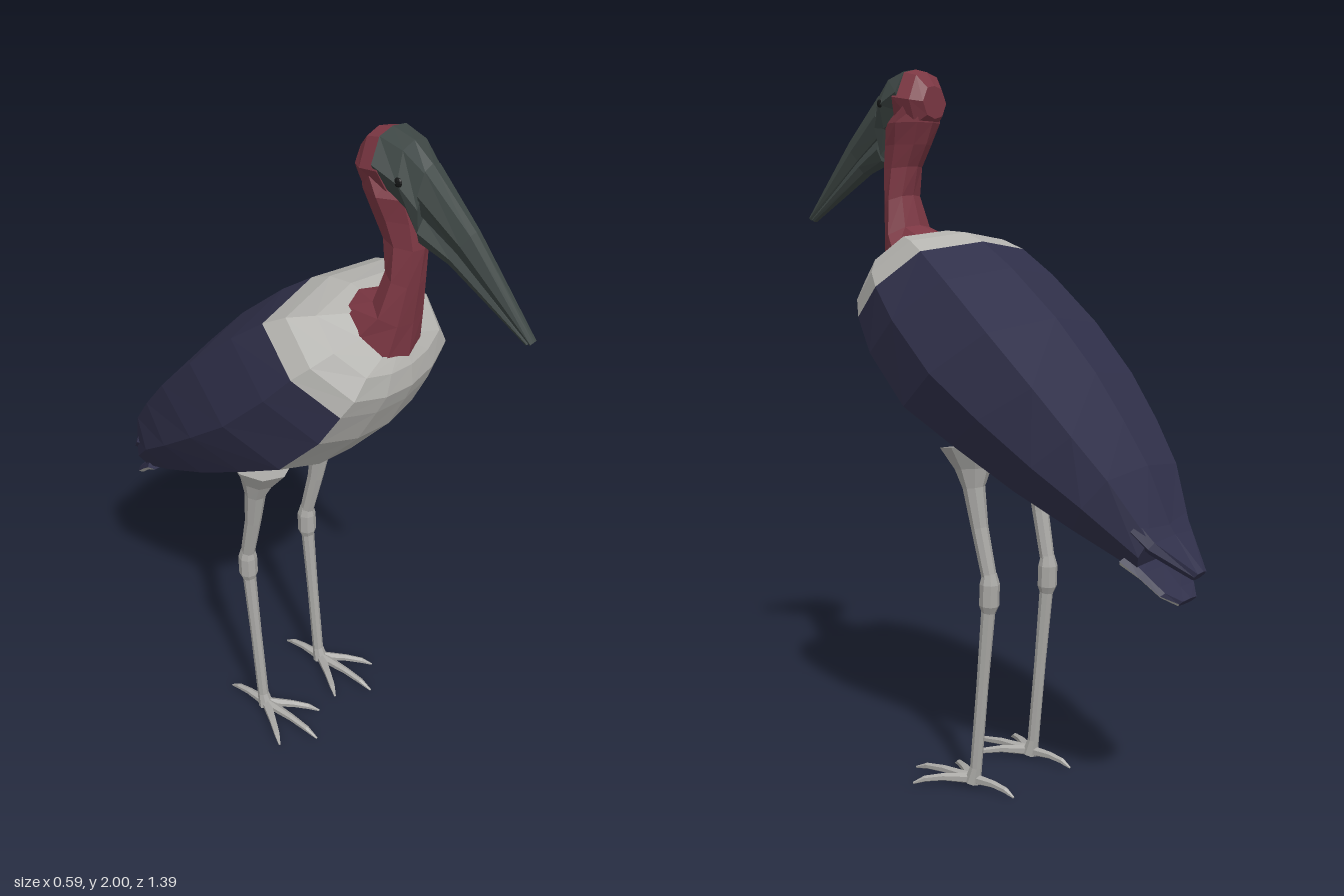
import * as THREE from 'three';

const mat = (name, color, extra = {}) => {
  const m = new THREE.MeshStandardMaterial({ color, flatShading: true, ...extra });
  m.name = name;
  return m;
};

// Joins rings of points into a faceted skin; keep(j) picks which strips are made.
function skin(rings, keep = () => true, caps = true) {
  const pos = [], n = rings[0].length;
  const tri = (...p) => p.forEach(v => pos.push(v.x, v.y, v.z));
  for (let i = 0; i < rings.length - 1; i++)
    for (let j = 0; j < n; j++) {
      if (!keep(j)) continue;
      const k = (j + 1) % n;
      tri(rings[i][j], rings[i][k], rings[i + 1][k]);
      tri(rings[i][j], rings[i + 1][k], rings[i + 1][j]);
    }
  if (caps)
    [rings[0], rings[rings.length - 1]].forEach((r, end) => {
      const c = r.reduce((s, p) => s.add(p), new THREE.Vector3()).divideScalar(n);
      for (let j = 0; j < n; j++) {
        const k = (j + 1) % n;
        if (end) tri(c, r[j], r[k]); else tri(c, r[k], r[j]);
      }
    });
  const g = new THREE.BufferGeometry();
  g.setAttribute('position', new THREE.Float32BufferAttribute(pos, 3));
  g.computeVertexNormals();
  return g;
}

// Cross-sections as [fraction from first edge to second, width factor], mirrored in x.
const OVAL = [[0, 0], [0.07, 0.6], [0.5, 1], [0.9, 0.65], [1, 0]];
const TORSO = [[0, 0], [0.1, 0.85], [0.5, 1], [0.87, 0.8], [0.97, 0.4], [1, 0]];
const PLATE = [[0, 0], [0.15, 0.85], [0.5, 1], [0.85, 0.85], [1, 0]];

// Each row is z1, y1, z2, y2, half width.
function rings(rows, shape) {
  return rows.map(([z1, y1, z2, y2, w]) => {
    const half = shape.map(([f, x]) => new THREE.Vector3(x * w, y1 + (y2 - y1) * f, z1 + (z2 - z1) * f));
    const other = half.slice(1, -1).reverse().map(p => new THREE.Vector3(-p.x, p.y, p.z));
    return [...half, ...other];
  });
}

// Faceted limb through rows of x, y, z, radius.
function limb(rows, ref, sides = 8) {
  const pts = rows.map(r => new THREE.Vector3(r[0], r[1], r[2]));
  return skin(rows.map((row, i) => {
    const d = pts[Math.min(i + 1, pts.length - 1)].clone().sub(pts[Math.max(i - 1, 0)]).normalize();
    const u = ref.clone().addScaledVector(d, -ref.dot(d)).normalize();
    const v = d.clone().cross(u);
    return Array.from({ length: sides }, (_, j) => {
      const a = j / sides * Math.PI * 2;
      return pts[i].clone().addScaledVector(u, Math.cos(a) * row[3]).addScaledVector(v, Math.sin(a) * row[3]);
    });
  }));
}

export function createModel() {
  const model = new THREE.Group();
  model.name = 'wadingBird';
  const pale = mat('pale grey plumage', 0xb4b3af, { side: THREE.DoubleSide });
  const navy = mat('dark blue feathers', 0x30304a, { side: THREE.DoubleSide });
  const red = mat('bare red skin', 0x7c3743);
  const slate = mat('slate beak', 0x3d4644);
  const legGrey = mat('leg grey', 0xaaa9a6);
  const black = mat('eye black', 0x141616);
  const add = (name, geo, material, parent = model) => {
    const m = new THREE.Mesh(geo, material);
    m.name = name;
    parent.add(m);
    return m;
  };

  // Body: pale collar and belly, dark folded wings over back and flanks
  const torso = rings([
    [0.20, 1.535, 0.335, 1.42, 0.10],
    [0.15, 1.55, 0.35, 1.39, 0.19],
    [0.08, 1.545, 0.355, 1.33, 0.24],
    [0.02, 1.52, 0.335, 1.28, 0.268],
    [-0.08, 1.45, 0.285, 1.18, 0.287],
    [-0.23, 1.32, 0.16, 1.04, 0.295],
    [-0.36, 1.18, 0.0, 0.955, 0.275],
    [-0.45, 1.06, -0.2, 0.85, 0.24],
    [-0.525, 0.95, -0.38, 0.765, 0.197],
    [-0.60, 0.79, -0.55, 0.68, 0.12],
  ], TORSO);
  const under = j => j >= 3 && j <= 6;
  add('collar', skin(torso.slice(0, 4), undefined, false), pale);
  add('belly', skin(torso.slice(3), under, false), pale);
  add('foldedWings', skin(torso.slice(3), j => !under(j), false), navy);
  add('rump', skin(torso.slice(-2).map((r, i) => i ? r : torso[9].map(p => p.clone().setZ(p.z + 0.02))), () => false), navy);

  // Tail: two thin feather layers, the lower one pale beneath
  add('upperTail', skin(rings([
    [-0.575, 0.83, -0.545, 0.775, 0.135],
    [-0.61, 0.78, -0.585, 0.735, 0.11],
    [-0.695, 0.695, -0.672, 0.67, 0.025],
  ], PLATE)), navy);
  const lowerTail = rings([
    [-0.54, 0.74, -0.51, 0.70, 0.13],
    [-0.58, 0.695, -0.56, 0.67, 0.11],
    [-0.63, 0.645, -0.61, 0.625, 0.085],
    [-0.66, 0.62, -0.64, 0.60, 0.04],
  ], PLATE);
  const below = j => j >= 2 && j <= 5;
  add('lowerTail', skin(lowerTail, j => !below(j)), navy);
  add('lowerTailUnderside', skin(lowerTail, below, false), pale);

  // Neck and back of the head
  add('neck', skin(rings([
    [0.34, 1.41, 0.17, 1.54, 0.105],
    [0.348, 1.51, 0.25, 1.565, 0.082],
    [0.36, 1.62, 0.275, 1.65, 0.06],
    [0.37, 1.72, 0.258, 1.73, 0.05],
    [0.362, 1.79, 0.225, 1.79, 0.058],
    [0.35, 1.85, 0.20, 1.85, 0.074],
    [0.30, 1.89, 0.20, 1.90, 0.07],
  ], [[0, 0], [0.1, 0.65], [0.5, 1], [0.9, 0.65], [1, 0]])), red);
  add('headBack', skin(rings([
    [0.262, 2.0, 0.30, 1.84, 0.083],
    [0.222, 1.99, 0.225, 1.83, 0.074],
    [0.193, 1.95, 0.192, 1.86, 0.05],
  ], OVAL)), red);

  // Face and long tapering beak
  add('face', skin(rings([
    [0.385, 1.935, 0.37, 1.745, 0.05],
    [0.325, 1.983, 0.345, 1.82, 0.076],
    [0.262, 2.0, 0.27, 1.865, 0.084],
  ], OVAL)), slate);
  add('upperBeak', skin(rings([
    [0.692, 1.59, 0.682, 1.578, 0.012],
    [0.51, 1.81, 0.47, 1.745, 0.033],
    [0.38, 1.94, 0.37, 1.81, 0.05],
  ], OVAL)), slate);
  add('lowerBeak', skin(rings([
    [0.682, 1.586, 0.672, 1.574, 0.011],
    [0.475, 1.755, 0.45, 1.71, 0.029],
    [0.38, 1.82, 0.37, 1.74, 0.044],
  ], OVAL)), slate);

  const X = new THREE.Vector3(1, 0, 0), Y = new THREE.Vector3(0, 1, 0);
  for (const s of [1, -1]) {
    const side = s > 0 ? 'left' : 'right';
    const eye = add(side + 'Eye', new THREE.SphereGeometry(0.012, 8, 6), black);
    eye.position.set(s * 0.071, 1.905, 0.335);
    eye.scale.x = 0.5;

    // Leg with flared thigh and knobbly joint
    const leg = new THREE.Group();
    leg.name = side + 'Leg';
    model.add(leg);
    add('shin', limb([
      [s * 0.135, 0.015, -0.05, 0.024], [s * 0.135, 0.06, -0.062, 0.017],
      [s * 0.135, 0.3, -0.085, 0.017], [s * 0.135, 0.53, -0.107, 0.02],
    ], X), legGrey, leg);
    add('joint', limb([
      [s * 0.135, 0.515, -0.107, 0.02], [s * 0.135, 0.535, -0.109, 0.028],
      [s * 0.135, 0.595, -0.111, 0.028], [s * 0.135, 0.625, -0.11, 0.02],
    ], X), legGrey, leg);
    add('thigh', limb([
      [s * 0.135, 0.61, -0.11, 0.021], [s * 0.14, 0.75, -0.08, 0.024],
      [s * 0.145, 0.86, -0.064, 0.031], [s * 0.14, 0.91, -0.057, 0.05],
      [s * 0.135, 0.97, -0.05, 0.088],
    ], X), legGrey, leg);

    // Three front toes and one hind toe
    for (const [dx, dz] of [[0, 0.21], [0.095, 0.14], [-0.095, 0.14], [0, -0.145]])
      add('toe', limb([
        [s * 0.135, 0.024, -0.05, 0.016],
        [s * 0.135 + dx * 0.5, 0.025, -0.05 + dz * 0.5, 0.011],
        [s * 0.135 + dx * 0.8, 0.018, -0.05 + dz * 0.8, 0.009],
        [s * 0.135 + dx, 0.004, -0.05 + dz, 0.003],
      ], Y, 6), legGrey, leg);
  }
  return model;
}
